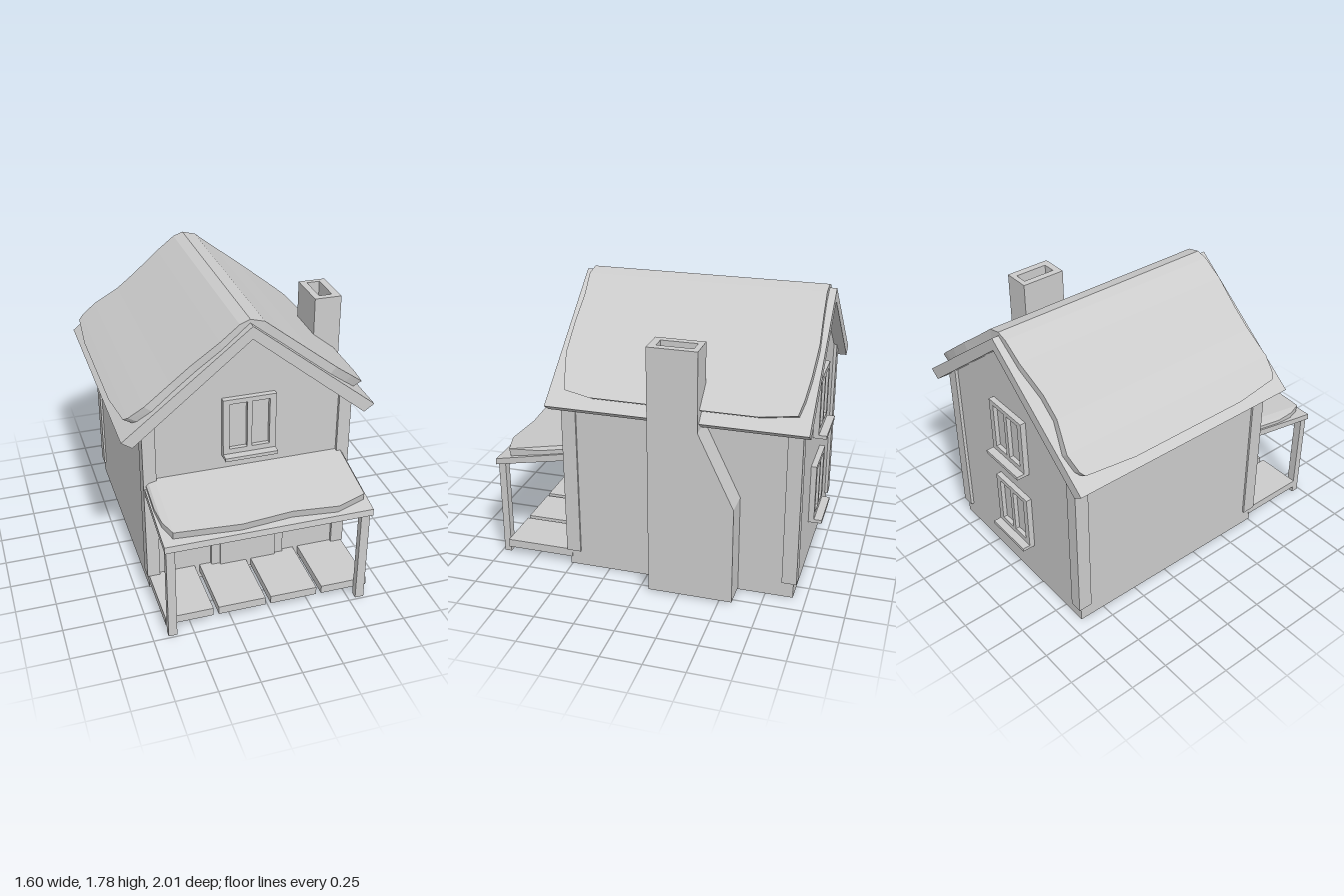
import * as THREE from 'three';

const C = -0.016; // centre line of the house
const FRONT = 0.51, BACK = -0.92, HALF = 0.642;
const mat = new THREE.MeshStandardMaterial({ color: 0xcccccc, flatShading: true });
const openMat = new THREE.MeshStandardMaterial({ color: 0xcccccc, flatShading: true, side: THREE.DoubleSide });

export function createModel() {
  const model = new THREE.Group();

  function add(name, geometry, parent = model, material = mat) {
    const mesh = new THREE.Mesh(geometry, material);
    mesh.name = name;
    parent.add(mesh);
    return mesh;
  }
  function box(name, x0, x1, y0, y1, z0, z1, parent) {
    const mesh = add(name, new THREE.BoxGeometry(x1 - x0, y1 - y0, z1 - z0), parent);
    mesh.position.set((x0 + x1) / 2, (y0 + y1) / 2, (z0 + z1) / 2);
    return mesh;
  }
  const poly = (pts) => new THREE.Shape(pts.map(([x, y]) => new THREE.Vector2(x, y)));
  const rect = (x0, x1, y0, y1) => poly([[x0, y0], [x1, y0], [x1, y1], [x0, y1]]);
  const extrude = (shape, depth) => new THREE.ExtrudeGeometry(shape, { depth, bevelEnabled: false });
  // profile given as [z, y], extruded along x from x0 to x1
  const extrudeX = (pts, x0, x1) =>
    extrude(poly(pts.map(([z, y]) => [-z, y])), x1 - x0).rotateY(Math.PI / 2).translate(x0, 0, 0);

  // loft through four-cornered sections: top front, top back, bottom back, bottom front
  function loft(sections) {
    const index = [], last = (sections.length - 1) * 4;
    for (let i = 0; i < last; i += 4) {
      for (let k = 0; k < 4; k++) {
        const a = i + k, b = i + (k + 1) % 4;
        index.push(a, a + 4, b, b, a + 4, b + 4);
      }
    }
    index.push(0, 1, 2, 0, 2, 3, last, last + 2, last + 1, last, last + 3, last + 2);
    const g = new THREE.BufferGeometry();
    g.setAttribute('position', new THREE.Float32BufferAttribute(sections.flat(2), 3));
    g.setIndex(index);
    const flat = g.toNonIndexed();
    flat.computeVertexNormals();
    return flat;
  }

  // Height of the roof's underside at a distance from the ridge
  const underside = (d) => 1.685 - 0.82 * d;

  // Walls: a gabled shell, open below
  const walls = new THREE.Group();
  walls.name = 'walls';
  model.add(walls);
  const eave = underside(HALF) + 0.01;
  const gable = poly([[-HALF, 0], [HALF, 0], [HALF, eave], [0, 1.695], [-HALF, eave]]);
  add('frontWall', new THREE.ShapeGeometry(gable), walls, openMat).position.set(C, 0, FRONT);
  add('backWall', new THREE.ShapeGeometry(gable).rotateY(Math.PI), walls, openMat).position.set(C, 0, BACK);
  for (const s of [-1, 1]) {
    const side = new THREE.PlaneGeometry(FRONT - BACK, eave).rotateY(s * Math.PI / 2);
    add('sideWall', side, walls, openMat).position.set(C + s * HALF, eave / 2, (FRONT + BACK) / 2);
  }

  // Corner boards, cut to the slope of the roof
  for (const s of [-1, 1]) {
    const a = 0.575, b = 0.655;
    const face = poly([[a, 0.1], [b, 0.1], [b, underside(b) + 0.01], [a, underside(a) + 0.01]].map(([x, y]) => [s * x, y]));
    for (const z of [FRONT, BACK - 0.02]) {
      add('cornerBoard', extrude(face, 0.02)).position.set(C, 0, z);
    }
    const x0 = C + (s > 0 ? HALF : -b), x1 = C + (s > 0 ? b : -HALF);
    box('cornerBoardSide', x0, x1, 0.1, 1.15, 0.44, FRONT, model);
    box('cornerBoardSide', x0, x1, 0.1, 1.15, BACK, -0.85, model);
  }

  // Main roof
  const roof = poly([[0, 1.76], [-0.785, 1.135], [-0.72, 1.09], [0, 1.68], [0.72, 1.09], [0.785, 1.135]]);
  add('roof', extrude(roof, 1.57)).position.set(C, 0, -0.99);

  // Snow on the main roof: x, top height, front z, back z
  const snow = [
    [-0.79, 1.215, 0.2, -0.6], [-0.765, 1.235, 0.49, -0.93], [-0.74, 1.255, 0.515, -0.95],
    [-0.65, 1.325, 0.54, -0.965], [-0.49, 1.445, 0.53, -0.91], [-0.37, 1.54, 0.53, -0.91],
    [-0.2, 1.67, 0.545, -0.94], [-0.08, 1.76, 0.535, -0.945], [-0.016, 1.782, 0.53, -0.947],
    [0.07, 1.76, 0.535, -0.945], [0.2, 1.655, 0.525, -0.95], [0.36, 1.53, 0.53, -0.96],
    [0.53, 1.395, 0.525, -0.95], [0.65, 1.3, 0.49, -0.935], [0.73, 1.235, 0.46, -0.915], [0.757, 1.215, 0.3, -0.7],
  ];
  add('roofSnow', loft(snow.map(([x, y, zf, zb]) => {
    const d = x - C, under = C + d * 0.925;
    const yb = 1.755 - 0.796 * Math.abs(d * 0.925);
    return [[x, y, zf], [x, y, zb], [under, yb, zb], [under, yb, zf]];
  })));

  // Chimney with a stepped shoulder and a hollow top
  const chimney = new THREE.Group();
  chimney.name = 'chimney';
  model.add(chimney);
  add('chimneyStack', extrudeX([[-0.06, 0.01], [-0.06, 1.47], [-0.36, 1.47], [-0.36, 1.09], [-0.58, 0.63], [-0.58, 0.01]], 0.615, 0.795), chimney);
  const rim = rect(0.615, 0.795, 0.06, 0.36);
  rim.holes.push(rect(0.66, 0.747, 0.105, 0.325));
  add('chimneyRim', extrude(rim, 0.105).rotateX(-Math.PI / 2), chimney).position.y = 1.47;

  // Windows with two recessed panes and a sill
  function windowAt(name, y, z, turn) {
    const g = new THREE.Group();
    g.name = name;
    const frame = rect(-0.165, 0.165, 0, 0.39);
    for (const s of [-1, 1]) {
      const x = s * 0.07;
      frame.holes.push(rect(x - 0.055, x + 0.055, 0.055, 0.36));
    }
    add('windowFrame', extrude(frame, 0.035), g);
    box('windowGlass', -0.16, 0.16, 0.02, 0.38, 0, 0.008, g);
    box('windowSill', -0.165, 0.165, 0, 0.022, 0, 0.085, g);
    g.position.set(C, y, z);
    g.rotation.y = turn;
    model.add(g);
  }
  windowAt('frontWindow', 0.9, FRONT, 0);
  windowAt('upperBackWindow', 0.85, BACK, Math.PI);
  windowAt('lowerBackWindow', 0.265, BACK, Math.PI);

  // Door and its frame
  box('door', -0.2, 0.165, 0.05, 0.572, 0.5, 0.545);
  box('doorFrame', -0.255, 0.22, 0.045, 0.622, 0.5, 0.53);

  // Porch: deck boards, posts and lean-to roof
  for (let i = 0; i < 4; i++) {
    const x = -0.66 + i * 0.331;
    box('deckBoard', x, x + 0.298, 0.05, 0.102, 0.5, 0.937);
  }
  box('porchPost', -0.655, -0.602, 0, 0.65, 0.94, 0.985);
  box('porchPost', 0.545, 0.6, 0, 0.65, 0.94, 0.985);
  add('porchRoof', extrudeX([[1.0, 0.625], [0.995, 0.665], [0.47, 0.77], [0.47, 0.725]], -0.665, 0.615));

  // Snow on the porch roof: x, front z, drop of the top at the ends
  const drift = [
    [-0.655, 0.72, 0.025], [-0.64, 0.85, 0.01], [-0.6, 0.95, 0], [-0.4, 0.963, 0], [-0.2, 0.977, 0],
    [0.12, 0.95, 0], [0.4, 0.975, 0], [0.585, 0.915, 0], [0.6, 0.7, 0.02],
  ];
  add('porchSnow', loft(drift.map(([x, z, drop]) => {
    const top = (q) => 0.808 - 0.195 * (q - 0.52) - drop;
    const low = (q) => 0.757 - 0.2 * (q - 0.52);
    return [[x, top(z), z], [x, top(0.5), 0.5], [x, low(0.5), 0.5], [x, low(z), z - 0.01]];
  })));

  return model;
}
